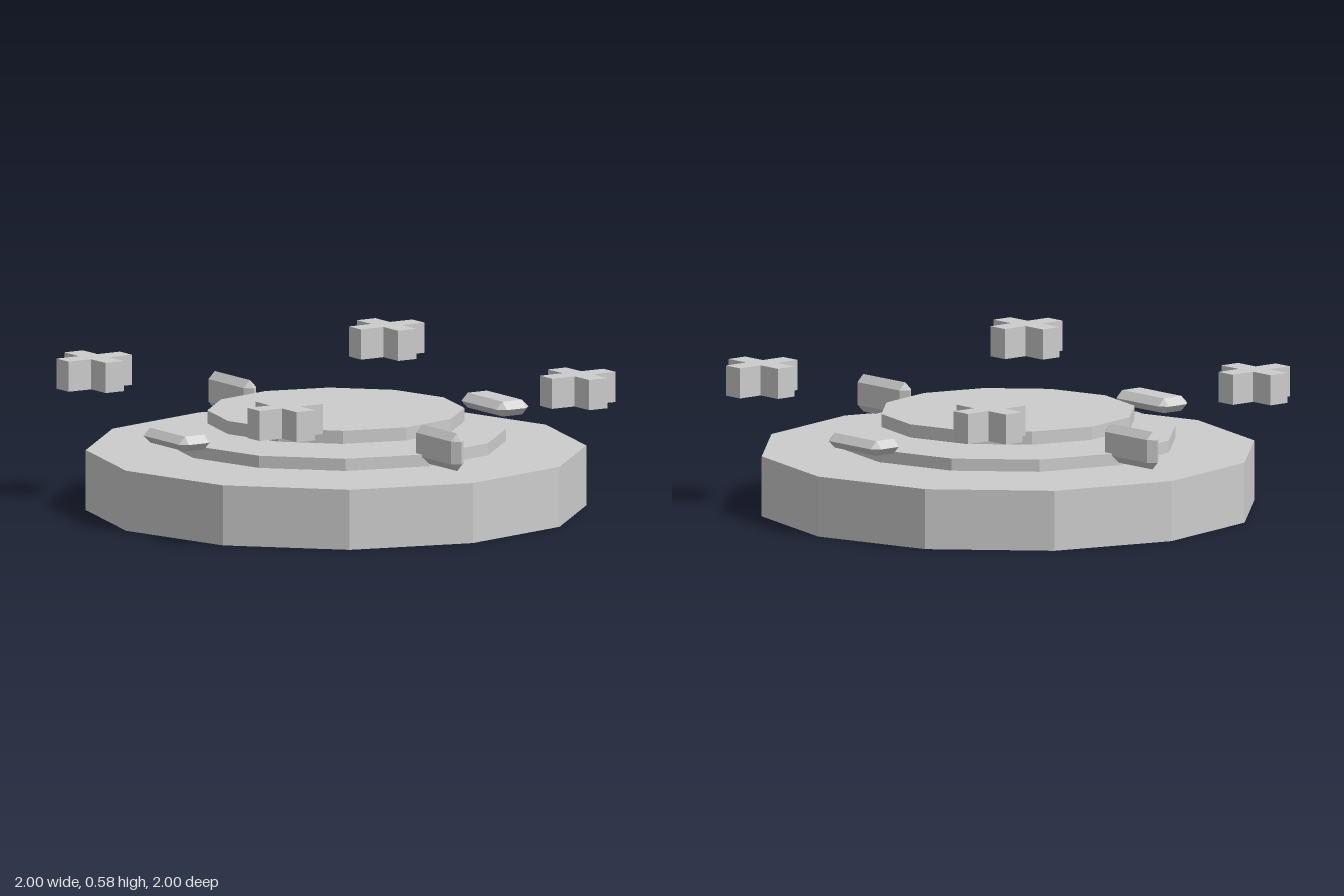
import * as THREE from 'three';
import { ConvexGeometry } from 'three/addons/geometries/ConvexGeometry.js';

const lightGrey = new THREE.MeshStandardMaterial({ color: 0xcccccc, flatShading: true });
lightGrey.name = 'lightGrey';

function addPart(parent, name, geometry, x, y, z) {
  const mesh = new THREE.Mesh(geometry, lightGrey);
  mesh.name = name;
  mesh.position.set(x, y, z);
  parent.add(mesh);
  return mesh;
}

// Twelve-sided disc between two heights
function addDisc(parent, name, radius, bottom, top) {
  const geometry = new THREE.CylinderGeometry(radius, radius, top - bottom, 12);
  addPart(parent, name, geometry, 0, (bottom + top) / 2, 0);
}

// Flat bar whose chamfers meet at mid thickness
function chamferedBar(width, thickness, length, chamfer) {
  const points = [];
  const a = width / 2, b = thickness / 2, c = length / 2;
  for (const sx of [-1, 1]) for (const sz of [-1, 1]) {
    points.push(
      new THREE.Vector3(sx * (a - chamfer), b, sz * (c - chamfer)),
      new THREE.Vector3(sx * (a - chamfer), -b, sz * (c - chamfer)),
      new THREE.Vector3(sx * a, 0, sz * (c - chamfer)),
      new THREE.Vector3(sx * (a - chamfer), 0, sz * c)
    );
  }
  return new ConvexGeometry(points);
}

// Plus-shaped block standing on its local y = 0
function plusBlock(reach, half, height) {
  const r = reach, h = half;
  const outline = [
    [h, -r], [h, -h], [r, -h], [r, h], [h, h], [h, r],
    [-h, r], [-h, h], [-r, h], [-r, -h], [-h, -h], [-h, -r]
  ].map(([x, y]) => new THREE.Vector2(x, y));
  const geometry = new THREE.ExtrudeGeometry(new THREE.Shape(outline), { depth: height, bevelEnabled: false });
  return geometry.rotateX(-Math.PI / 2);
}

export function createModel() {
  const model = new THREE.Group();
  model.name = 'tieredPlatform';

  // Stacked discs with small gaps between them
  addDisc(model, 'base', 1, 0, 0.243);
  addDisc(model, 'lowerRing', 0.68, 0.265, 0.314);
  addDisc(model, 'upperRing', 0.514, 0.346, 0.399);

  // Four bars: flat at the sides, on edge at front and back
  const bar = chamferedBar(0.152, 0.06, 0.316, 0.03);
  for (const s of [-1, 1]) {
    addPart(model, s > 0 ? 'leftBar' : 'rightBar', bar, s * 0.757, 0.351, 0);
    const upright = addPart(model, s > 0 ? 'frontBar' : 'backBar', bar, 0, 0.351, s * 0.757);
    upright.rotation.z = Math.PI / 2;
  }

  // Floating plus blocks at the corners
  const plus = plusBlock(0.151, 0.044, 0.122);
  for (const sx of [-1, 1]) for (const sz of [-1, 1]) {
    const name = (sz > 0 ? 'front' : 'back') + (sx > 0 ? 'Left' : 'Right') + 'Plus';
    addPart(model, name, plus, sx * 0.697, 0.455, sz * 0.697);
  }

  return model;
}
